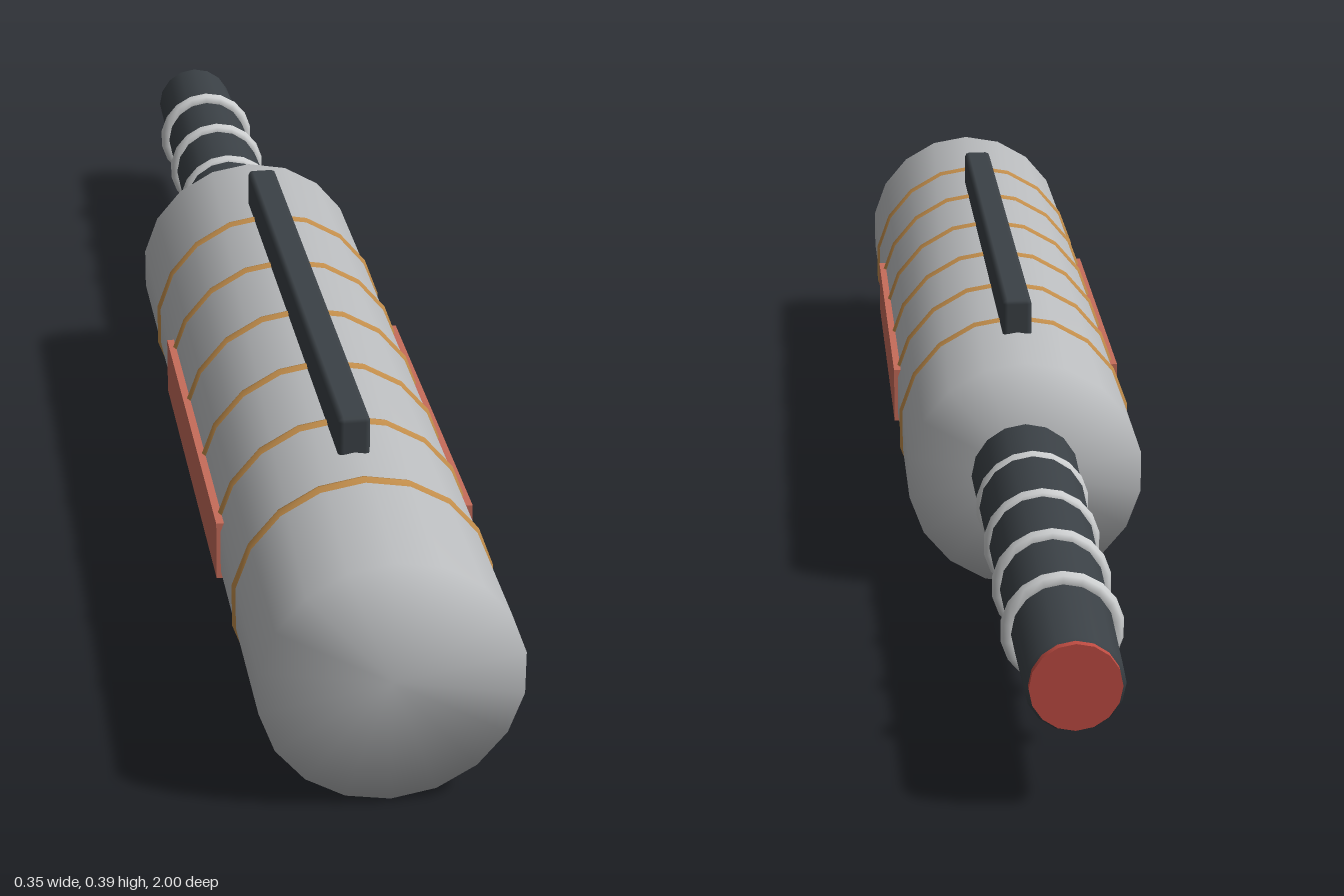
import * as THREE from 'three';
import { mergeVertices } from 'three/addons/utils/BufferGeometryUtils.js';
import { RoundedBoxGeometry } from 'three/addons/geometries/RoundedBoxGeometry.js';

const AXIS_Y = 0.176;

function material(name, color) {
  const m = new THREE.MeshStandardMaterial({ color });
  m.name = name;
  return m;
}

// Cylinder along z whose caps share smooth normals with the wall
function rod(frontRadius, backRadius, zFront, zBack, sides) {
  let g = new THREE.CylinderGeometry(frontRadius, backRadius, zFront - zBack, sides);
  g.rotateX(Math.PI / 2);
  g.deleteAttribute('uv');
  g.deleteAttribute('normal');
  g = mergeVertices(g, 1e-4);
  g.computeVertexNormals();
  return g.translate(0, AXIS_Y, (zFront + zBack) / 2);
}

// Ring around the long axis, with a vertex at the top
function ring(outerRadius, tube, z, sides) {
  return new THREE.TorusGeometry(outerRadius - tube, tube, 8, sides)
    .rotateZ(Math.PI / 2)
    .translate(0, AXIS_Y, z);
}

export function createModel() {
  const shell = material('shell grey', 0xbabcbe);
  const dark = material('dark slate', 0x3b4146);
  const copper = material('copper', 0xc48f4c);
  const pale = material('pale grey', 0xcfd1d2);
  const coral = material('coral', 0xc66c5a);
  const red = material('red', 0xbf4c42);

  const model = new THREE.Group();
  const add = (name, geometry, mat) => {
    const mesh = new THREE.Mesh(geometry, mat);
    mesh.name = name;
    model.add(mesh);
  };

  // Main barrel and its copper bands
  add('barrel', rod(0.17, 0.17, 1, -0.275, 18), shell);
  for (let i = 0; i < 6; i++) {
    add('barrelBand' + (i + 1), ring(0.174, 0.012, 0.785 - i * 0.17, 18), copper);
  }

  // Chamfered rail on top
  const rail = new RoundedBoxGeometry(0.042, 0.075, 0.846, 1, 0.007);
  add('topRail', rail.translate(0, 0.358, 0.288), dark);

  // Side panels
  for (const side of [-1, 1]) {
    const panel = new THREE.BoxGeometry(0.014, 0.083, 0.565);
    add(side > 0 ? 'leftPanel' : 'rightPanel', panel.translate(side * 0.166, 0.177, 0.363), coral);
  }

  // Tapered stem with pale rings and a red end disc
  add('stem', rod(0.078, 0.063, -0.26, -0.99, 16), dark);
  for (let i = 0; i < 4; i++) {
    add('stemRing' + (i + 1), ring(0.08, 0.012, -0.39 - i * 0.1445, 18), pale);
  }
  const disc = new THREE.CylinderGeometry(0.058, 0.058, 0.012, 16).rotateX(Math.PI / 2);
  add('endDisc', disc.translate(0, AXIS_Y, -0.994), red);

  return model;
}
